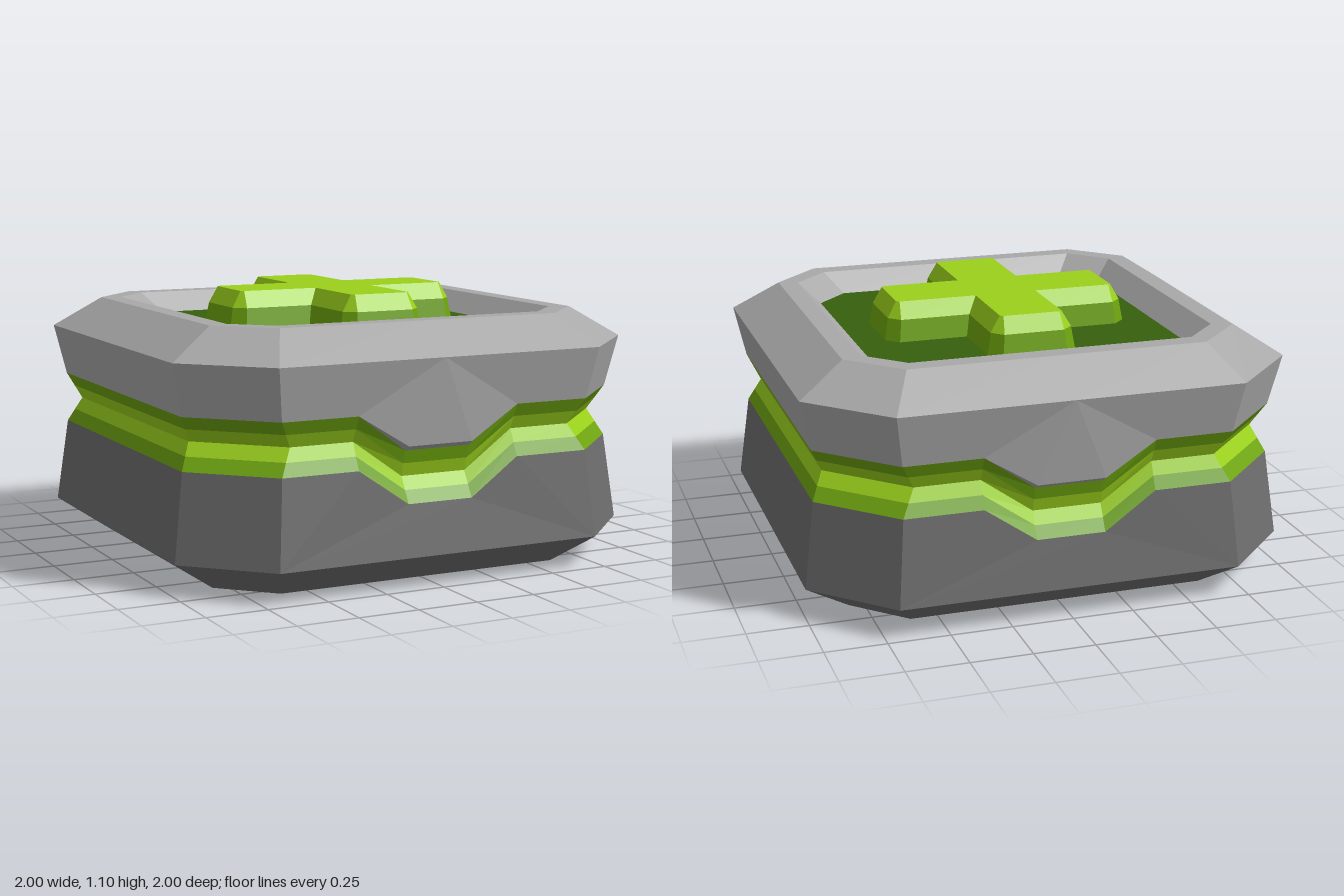
import * as THREE from 'three';

const flat = (name, color) => {
  const m = new THREE.MeshStandardMaterial({ color });
  m.name = name;
  return m;
};

// Octagonal ring, counter-clockwise from above. h: half width, c: corner position.
// The front and back edges carry four extra points at x = ±a, ±b;
// the inner pair (±b) can sink to height yb and depth zb for the clasp dip.
function ring(h, c, y, a = 0, b = 0, yb = y, zb = h) {
  const front = [[-c, y, h], [-a, y, h], [-b, yb, zb], [b, yb, zb], [a, y, h], [c, y, h]];
  const half = [...front, [h, y, c], [h, y, -c]];
  return [...half, ...half.map(([x, yy, z]) => [-x, yy, -z])];
}

// Plus-shaped ring: r = arm length, w = arm half width, k = corner chamfer
function crossRing(r, w, k, y) {
  const pts = [];
  const arm = [[-w, w], [-w, r - k], [-w + k, r], [w - k, r], [w, r - k]];
  for (let i = 0; i < 4; i++) {
    const s = Math.round(Math.sin(i * Math.PI / 2)), q = Math.round(Math.cos(i * Math.PI / 2));
    for (const [x, z] of arm) pts.push([x * q + z * s, y, -x * s + z * q]);
  }
  return pts;
}

const mix = (r1, r2, t) => r1.map((p, i) => p.map((v, k) => v + (r2[i][k] - v) * t));

// Faceted skin through rings listed from bottom to top, with optional end caps
function loft(name, material, rings, { bottom = false, top = false } = {}) {
  const pos = [];
  const tri = (...ps) => ps.forEach((p) => pos.push(...p));
  const n = rings[0].length;
  for (let r = 0; r < rings.length - 1; r++) {
    for (let i = 0; i < n; i++) {
      const j = (i + 1) % n;
      const a = rings[r][i], b = rings[r][j], c = rings[r + 1][j], d = rings[r + 1][i];
      tri(a, b, c);
      tri(a, c, d);
    }
  }
  const cap = (pts, up) => {
    const mid = [0, pts[0][1], 0];
    for (let i = 0; i < n; i++) {
      const p = pts[i], q = pts[(i + 1) % n];
      if (up) tri(mid, p, q); else tri(mid, q, p);
    }
  };
  if (bottom) cap(rings[0], false);
  if (top) cap(rings[rings.length - 1], true);
  const g = new THREE.BufferGeometry();
  g.setAttribute('position', new THREE.Float32BufferAttribute(pos, 3));
  g.computeVertexNormals();
  const mesh = new THREE.Mesh(g, material);
  mesh.name = name;
  return mesh;
}

export function createModel() {
  const lightGrey = flat('light grey', 0xa8a8a8);
  const darkGrey = flat('dark grey', 0x6e6e6e);
  const lime = flat('lime', 0x9ad01c);
  const midGreen = flat('mid green', 0x6ea40f);
  const deepGreen = flat('deep green', 0x365f0e);

  const model = new THREE.Group();
  model.name = 'medicalCrate';

  // Seam rings shared by the two shells and the glowing groove
  const lowerLip = ring(0.955, 0.67, 0.48, 0.35, 0.14, 0.335, 0.965);
  const seam = ring(0.905, 0.615, 0.585, 0.35, 0.14, 0.435, 0.905);
  const upperLip = ring(0.955, 0.67, 0.69, 0.35, 0.14, 0.56, 0.965);
  const tongueUnder = ring(0.955, 0.67, 0.69, 0.35, 0.14, 0.54, 0.935);

  // Lower shell
  model.add(loft('lowerShell', darkGrey, [
    ring(0.81, 0.61, 0, 0.61, 0.61),
    ring(1, 0.7, 0.13, 0.7, 0.7),
    lowerLip,
  ], { bottom: true }));

  // Groove: bright core between two darker edges
  const lowMid = mix(lowerLip, seam, 0.5), highMid = mix(seam, tongueUnder, 0.5);
  model.add(loft('grooveLowerEdge', midGreen, [lowerLip, lowMid]));
  model.add(loft('grooveCore', lime, [lowMid, seam, highMid]));
  model.add(loft('grooveUpperEdge', midGreen, [highMid, tongueUnder]));

  // Upper shell with clasp tongues, bevelled rim and sunken lid
  const lidEdge = ring(0.645, 0.51, 0.94);
  model.add(loft('upperShell', lightGrey, [
    tongueUnder,
    upperLip,
    ring(1, 0.7, 0.9),
    ring(0.81, 0.61, 1.022),
    ring(0.73, 0.58, 1.022),
    lidEdge,
  ]));
  model.add(loft('lidPanel', deepGreen, [lidEdge], { top: true }));

  // Raised cross on the lid
  const crossMid = crossRing(0.505, 0.17, 0.045, 1.03);
  model.add(loft('crossBase', midGreen, [crossRing(0.52, 0.185, 0.05, 0.94), crossMid]));
  model.add(loft('crossTop', lime, [crossMid, crossRing(0.467, 0.13, 0.012, 1.097)], { top: true }));

  return model;
}
